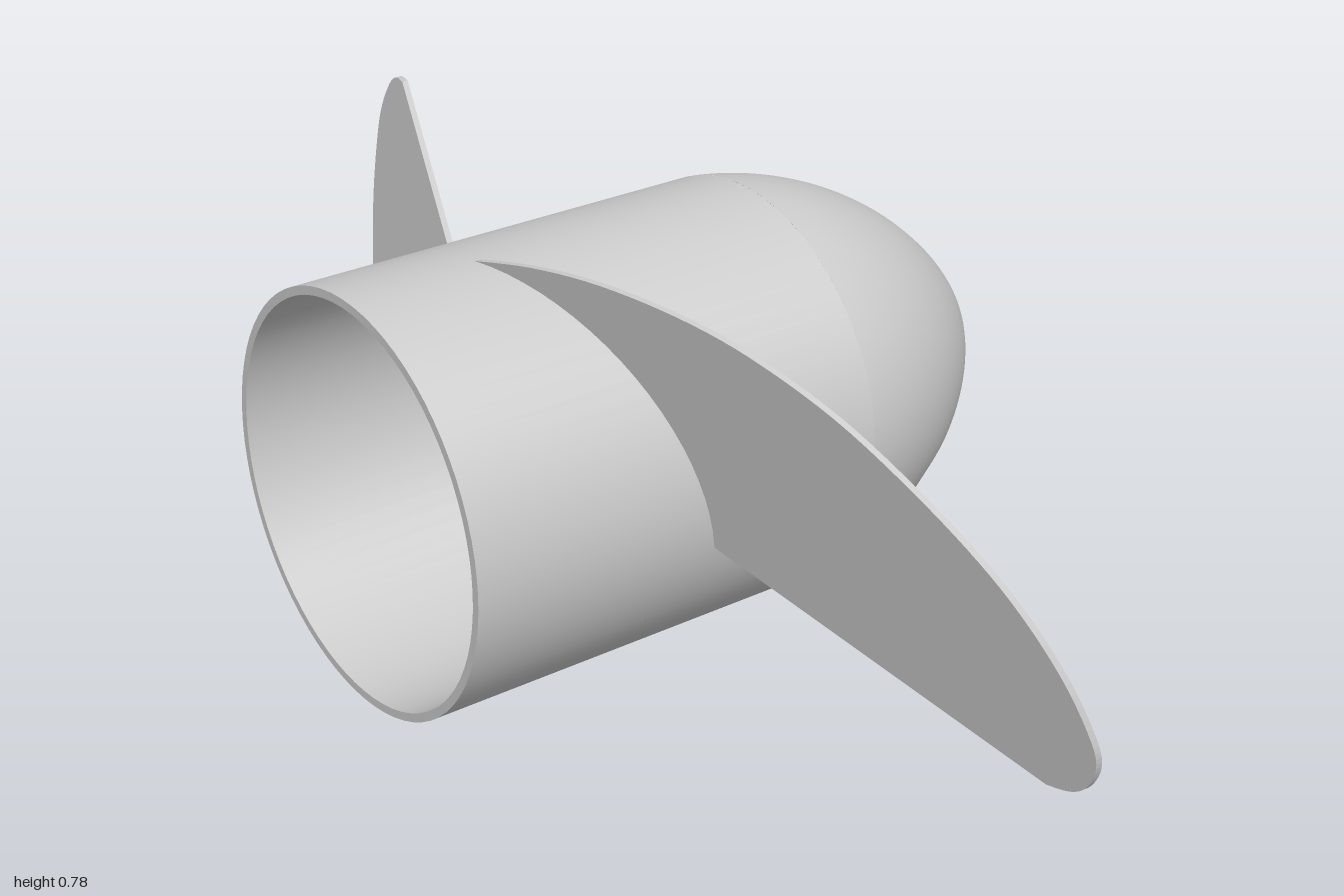
import * as THREE from 'three';

const CY = 0.39;             // height of the shaft axis
const R = 0.36, WALL = 0.015;
const ARC_R = 0.6, ARC_C = 0.236, ARC_X = 0.0865; // ogive arc of the nose
const TIP = 0.62;

// x of the nose surface at distance r from the axis, inset by the wall
const noseX = (r, inset = 0) =>
  Math.min(TIP - inset, ARC_X + Math.sqrt(Math.max(0, (ARC_R - inset) ** 2 - (r + ARC_C) ** 2)));

// openings seen along the axis: a segment a-b swept by radius rad
const opening = (deg, r0, r1, rad) => {
  const t = THREE.MathUtils.degToRad(deg);
  const dir = new THREE.Vector2(Math.cos(t), Math.sin(t));
  return { a: dir.clone().multiplyScalar(r0), b: dir.clone().multiplyScalar(r1), dir, t, rad };
};
const pockets = [90, 270].map(d => opening(d, 0.175, 0.175, 0.075));
const slots = [30, 210].map(d => opening(d, 0.223, 0.277, 0.033));
const openings = [...pockets, ...slots];

// point across the axis (u = -z, v = y) to model space
const place = (p, x) => [x, p.y, -p.x];

function build(pos, index) {
  const g = new THREE.BufferGeometry();
  g.setAttribute('position', new THREE.Float32BufferAttribute(pos, 3));
  g.setIndex(index);
  g.computeVertexNormals();
  return g;
}

// Domed skin; vertices falling in an opening are pushed to its rim
function noseSkin(inset) {
  const SEG = 144, RINGS = 56, pos = [], index = [], inside = [];
  const rMax = R - inset;
  const a0 = Math.asin((0.037 + ARC_C) / ARC_R), a1 = Math.asin((rMax + ARC_C) / (ARC_R - inset));
  for (let i = 0; i <= RINGS; i++) {
    const a = a0 + (a1 - a0) * (i - 1) / (RINGS - 1);
    const r = i === 0 ? 0 : i === RINGS ? rMax : (ARC_R - inset) * Math.sin(a) - ARC_C;
    for (let j = 0; j < SEG; j++) {
      const t = j / SEG * Math.PI * 2;
      const p = new THREE.Vector2(r * Math.cos(t), r * Math.sin(t));
      let hit = false;
      for (const o of openings) {
        const along = THREE.MathUtils.clamp(p.dot(o.dir), o.a.dot(o.dir), o.b.dot(o.dir));
        const c = o.dir.clone().multiplyScalar(along);
        const d = p.clone().sub(c);
        if (d.length() < o.rad) {
          hit = true;
          if (d.length() < 1e-6) d.set(-o.dir.y, o.dir.x);
          p.copy(c.add(d.setLength(o.rad)));
        }
      }
      inside.push(hit);
      pos.push(...place(p, noseX(p.length(), inset)));
    }
  }
  const tri = (a, b, c) => {
    if (inside[a] && inside[b] && inside[c]) return;
    if (inset) index.push(a, c, b); else index.push(a, b, c);
  };
  for (let i = 0; i < RINGS; i++) for (let j = 0; j < SEG; j++) {
    const k = (j + 1) % SEG;
    const a = i * SEG + j, b = a + SEG, c = (i + 1) * SEG + k, d = i * SEG + k;
    tri(a, b, c);
    if (i > 0) tri(a, c, d);
  }
  return build(pos, index);
}

// Outline of an opening, with an optional other radius
function rim(o, rad, xOf, n = 64) {
  return Array.from({ length: n }, (_, i) => {
    const s = (i + 0.5) / n * Math.PI * 2;
    const p = (Math.cos(s) > 0 ? o.b : o.a).clone();
    p.x += rad * Math.cos(o.t + s);
    p.y += rad * Math.sin(o.t + s);
    return place(p, xOf(p.length()));
  });
}

// Band between two equal loops
function band(A, B) {
  const n = A.length, index = [];
  for (let i = 0; i < n; i++) {
    const k = (i + 1) % n;
    index.push(i, n + i, n + k, i, n + k, k);
  }
  return build([...A, ...B].flat(), index);
}

// Flat blade, sheared so that it is pitched against the axis
function bladeGeometry() {
  const thick = 0.012;
  const edge = [[0, 0.36], [0.12, 0.382], [0.25, 0.389], [0.39, 0.375], [0.51, 0.343], [0.64, 0.28],
    [0.754, 0.193], [0.85, 0.1], [0.914, 0.016], [0.965, -0.08], [0.995, -0.176], [0.997, -0.23],
    [0.975, -0.278], [0.945, -0.3], [0.905, -0.305]].map(([z, y]) => new THREE.Vector2(-z, y));
  const pts = new THREE.SplineCurve(edge).getPoints(70);
  const t0 = -0.183, t1 = Math.PI / 2, rr = R - 0.006;
  for (let i = 0; i < 24; i++) {            // root follows the hub
    const t = t0 + (t1 - t0) * i / 24;
    pts.push(new THREE.Vector2(-rr * Math.cos(t), rr * Math.sin(t)));
  }
  const g = new THREE.ExtrudeGeometry(new THREE.Shape(pts), { depth: thick, bevelEnabled: false });
  g.translate(0, 0, -thick / 2).rotateY(Math.PI / 2);
  const p = g.attributes.position;
  for (let i = 0; i < p.count; i++) {
    p.setX(i, p.getX(i) - 0.165 - 0.25 * (p.getY(i) + 0.07) + 0.285 * (p.getZ(i) - 0.35));
  }
  g.computeVertexNormals();
  return g;
}

export function createModel() {
  const model = new THREE.Group();
  model.name = 'propeller';
  const spinner = new THREE.Group();
  spinner.name = 'spinner';
  spinner.position.y = CY;
  model.add(spinner);

  const solid = new THREE.MeshStandardMaterial({ color: 0xcccccc });
  const open = new THREE.MeshStandardMaterial({ color: 0xcccccc, side: THREE.DoubleSide });
  const add = (name, geometry, material) => {
    const m = new THREE.Mesh(geometry, material);
    m.name = name;
    spinner.add(m);
    return m;
  };

  // hollow barrel: outside, inside and the rear lip
  const back = -0.62;
  const sleeve = (r, x) => new THREE.CylinderGeometry(r, r, x - back, 72, 1, true)
    .rotateZ(-Math.PI / 2).translate((x + back) / 2, 0, 0);
  add('barrelOutside', sleeve(R, noseX(R)), open);
  add('barrelInside', sleeve(R - WALL, noseX(R - WALL, WALL)), open);
  add('rearLip', new THREE.RingGeometry(R - WALL, R, 72).rotateY(-Math.PI / 2).translate(back, 0, 0), open);

  // nose shell
  add('noseOutside', noseSkin(0), solid);
  add('noseInside', noseSkin(WALL), solid);

  // stepped bolt pockets
  for (const o of pockets) {
    const loops = [
      rim(o, 0.075, r => noseX(r)), rim(o, 0.075, () => 0.41), rim(o, 0.05, () => 0.38),
      rim(o, 0.03, () => 0.38), rim(o, 0.03, () => 0.36)];
    for (let i = 0; i < 4; i++) add('boltPocket', band(loops[i], loops[i + 1]), open);
  }

  // walls of the radial slots
  for (const o of slots) {
    add('slotWall', band(rim(o, o.rad, r => noseX(r)), rim(o, o.rad, r => noseX(r, WALL))), open);
  }

  // two opposite blades
  const blade = bladeGeometry();
  for (let i = 0; i < 2; i++) add('blade', blade, solid).rotation.x = i * Math.PI;
  return model;
}
